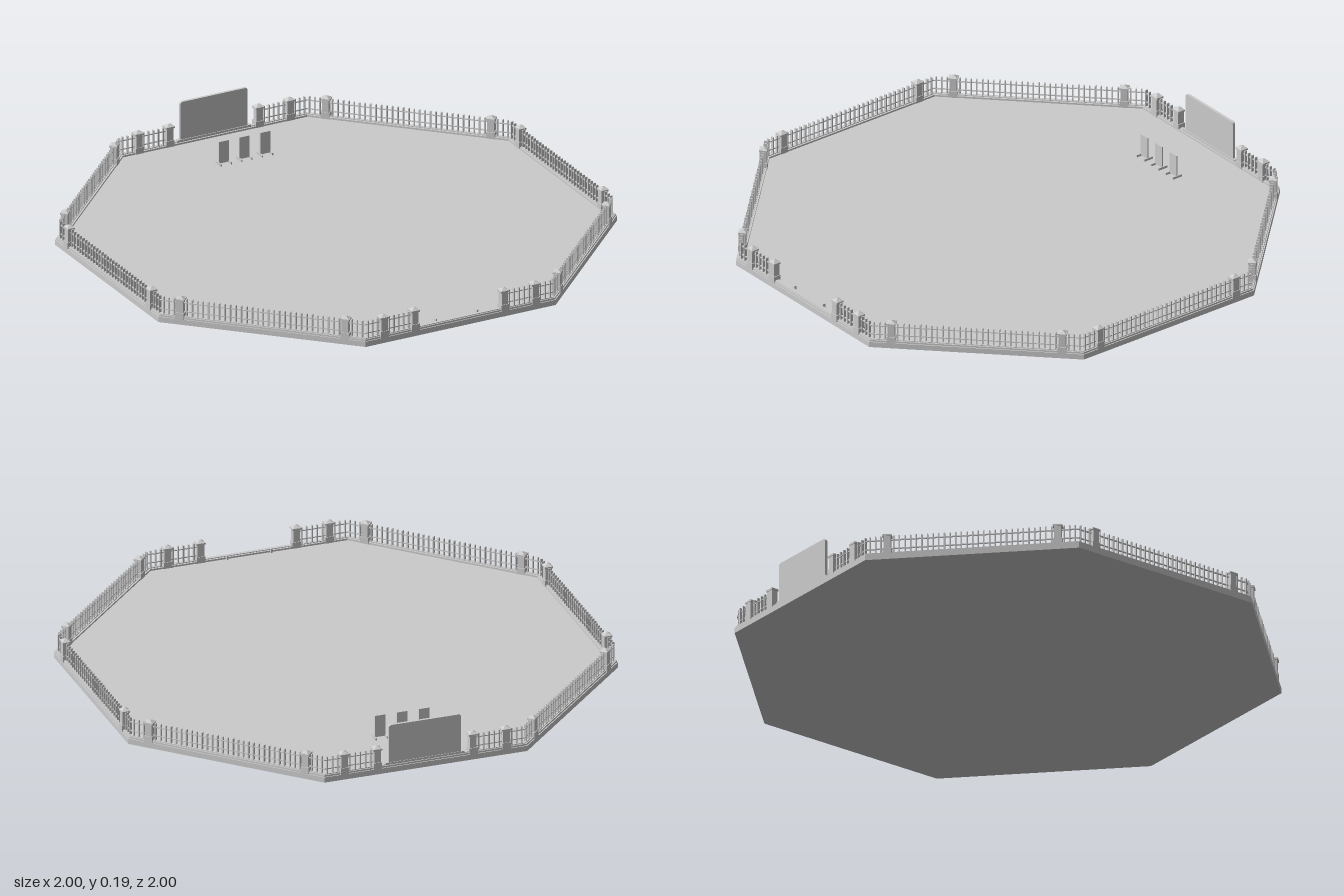
import * as THREE from 'three';

const material = new THREE.MeshStandardMaterial({ color: 0xcccccc, flatShading: true });
const SLAB_TOP = 0.022, CURB_TOP = 0.032, LINE = 0.984; // LINE: distance of the fence from the centre
const T = Math.tan(Math.PI / 8);

function add(parent, name, geometry, x = 0, y = 0, z = 0) {
  const mesh = new THREE.Mesh(geometry, material);
  mesh.name = name;
  mesh.position.set(x, y, z);
  parent.add(mesh);
  return mesh;
}

function box(parent, name, w, h, d, x, bottom, z) {
  return add(parent, name, new THREE.BoxGeometry(w, h, d), x, bottom + h / 2, z);
}

// Octagon outline with flat sides facing the axes
function octagon(target, apothem) {
  const r = apothem / Math.cos(Math.PI / 8);
  const points = [];
  for (let i = 0; i < 8; i++) {
    const a = Math.PI / 8 + i * Math.PI / 4;
    points.push(new THREE.Vector2(r * Math.cos(a), r * Math.sin(a)));
  }
  return target.setFromPoints(points);
}

function octagonRing(parent, name, outer, inner, bottom, top) {
  const shape = octagon(new THREE.Shape(), outer);
  if (inner) shape.holes.push(octagon(new THREE.Path(), inner));
  const geometry = new THREE.ExtrudeGeometry(shape, { depth: top - bottom, bevelEnabled: false });
  geometry.rotateX(-Math.PI / 2);
  add(parent, name, geometry, 0, bottom, 0);
}

// Square pillar with plinth, projecting cap and pyramid top
function pillar(parent, x) {
  const post = new THREE.Group();
  post.name = 'pillar';
  post.position.set(x, 0, LINE);
  parent.add(post);
  box(post, 'pillarPlinth', 0.034, 0.026, 0.032, 0, SLAB_TOP, 0);
  box(post, 'pillarShaft', 0.027, 0.054, 0.027, 0, 0.046, 0);
  box(post, 'pillarCap', 0.037, 0.007, 0.032, 0, 0.098, 0);
  const roof = new THREE.CylinderGeometry(0.004, 0.023, 0.009, 4);
  roof.rotateY(Math.PI / 4);
  add(post, 'pillarRoof', roof, 0, 0.1095, 0);
}

// Two rails and evenly spaced pickets between two positions along a side
function fence(parent, from, to) {
  const length = to - from, mid = (from + to) / 2;
  for (const y of [0.048, 0.084]) box(parent, 'fenceRail', length, 0.004, 0.005, mid, y, LINE);
  const count = Math.max(2, Math.round(length / 0.0215));
  for (let i = 0; i < count; i++) {
    const x = from + (i + 0.5) * length / count;
    box(parent, 'picket', 0.0045, 0.072, 0.011, x, CURB_TOP - 0.002, LINE);
  }
}

export function createModel() {
  const model = new THREE.Group();
  model.name = 'fencedPlaza';

  octagonRing(model, 'groundSlab', 1, 0, 0, SLAB_TOP);
  octagonRing(model, 'curb', 0.996, 0.97, SLAB_TOP, CURB_TOP - 0.003);
  octagonRing(model, 'curbCoping', 0.991, 0.977, CURB_TOP - 0.003, CURB_TOP);

  // Eight sides; front and back keep an opening in the middle
  for (let i = 0; i < 8; i++) {
    const side = new THREE.Group();
    side.name = 'fenceSide';
    side.rotation.y = i * Math.PI / 4;
    model.add(side);
    const corner = LINE * T, outer = 0.33, gate = 0.195;
    for (const s of [-1, 1]) pillar(side, s * outer);
    fence(side, -corner, -outer - 0.014);
    fence(side, outer + 0.014, corner);
    if (i % 4 === 0) {
      for (const s of [-1, 1]) pillar(side, s * gate);
      fence(side, -outer + 0.014, -gate - 0.014);
      fence(side, gate + 0.014, outer - 0.014);
    } else {
      fence(side, -outer + 0.014, outer - 0.014);
    }
  }

  // Small stops at the front opening
  for (const x of [-0.09, 0.09]) box(model, 'gateStop', 0.006, 0.016, 0.01, x, SLAB_TOP, 0.967);

  // Large sign wall with softened upper corners at the back opening
  const w = 0.147, h = 0.195, r = 0.012;
  const wall = new THREE.Shape();
  wall.moveTo(-w, CURB_TOP - 0.004);
  wall.lineTo(w, CURB_TOP - 0.004);
  wall.lineTo(w, h - r);
  wall.quadraticCurveTo(w, h, w - r, h);
  wall.lineTo(-w + r, h);
  wall.quadraticCurveTo(-w, h, -w, h - r);
  wall.closePath();
  const wallGeometry = new THREE.ExtrudeGeometry(wall, { depth: 0.011, bevelEnabled: false, curveSegments: 4 });
  add(model, 'signWall', wallGeometry, 0, 0, -0.99);
  box(model, 'signWallBase', 0.32, 0.01, 0.016, 0, CURB_TOP - 0.004, -0.984);

  // Three upright notice boards on pairs of feet
  for (const x of [-0.09, 0, 0.09]) {
    const board = new THREE.Group();
    board.name = 'noticeBoard';
    board.position.set(x, SLAB_TOP, -0.735);
    model.add(board);
    box(board, 'boardPanel', 0.044, 0.09, 0.005, 0, 0.005, 0);
    for (const s of [-1, 1]) box(board, 'boardFoot', 0.005, 0.009, 0.042, s * 0.0225, 0, 0);
  }

  return model;
}
